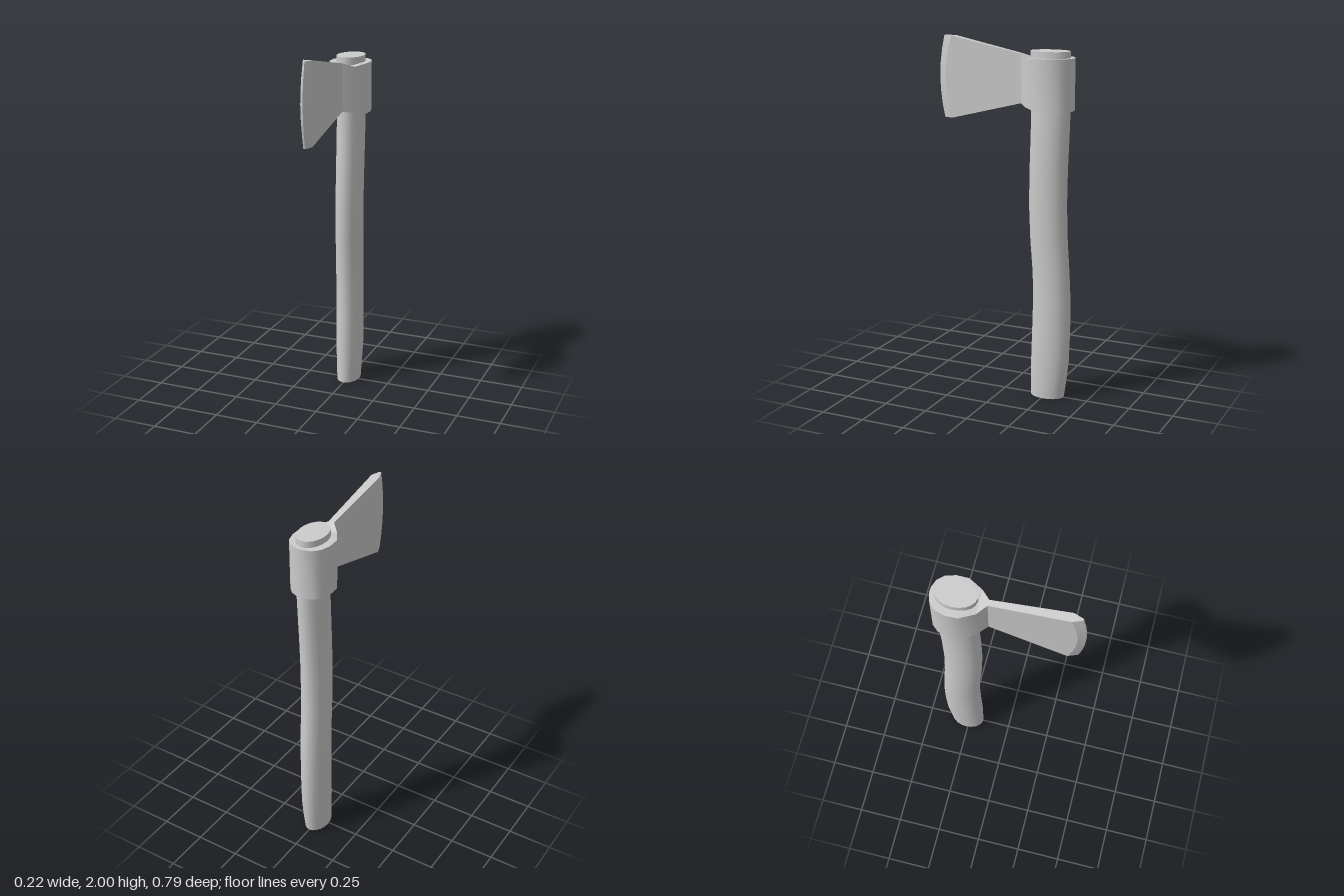
import * as THREE from 'three';
import { toCreasedNormals } from 'three/addons/utils/BufferGeometryUtils.js';

const material = new THREE.MeshStandardMaterial({ color: 0xcccccc });

function addPart(group, name, geometry, crease) {
  const mesh = new THREE.Mesh(toCreasedNormals(geometry, crease), material);
  mesh.name = name;
  group.add(mesh);
}

// Solid through upright sections along z: [z, xMin, xMax, yMin, yMax, bulge].
// The bulge pushes the middle of a section forward, which curves the cutting edge.
function loft(sections, levels) {
  const positions = [], index = [], ring = levels * 2;
  const quad = (a, b, c, d) => index.push(a, b, c, a, c, d);
  for (const [z, x0, x1, y0, y1, bulge = 0] of sections) {
    for (let j = 0; j < ring; j++) {
      const right = j < levels;
      const t = (right ? j : ring - 1 - j) / (levels - 1);
      positions.push(right ? x1 : x0, y0 + (y1 - y0) * t, z + bulge * (1 - (2 * t - 1) ** 2));
    }
  }
  for (let i = 0; i < sections.length - 1; i++) {
    for (let j = 0; j < ring; j++) {
      const a = i * ring + j, b = i * ring + (j + 1) % ring;
      quad(a, b, b + ring, a + ring);
    }
  }
  // End caps
  const last = (sections.length - 1) * ring;
  for (let k = 0; k < levels - 1; k++) {
    const m = ring - 1 - k;
    quad(last + k, last + k + 1, last + m - 1, last + m);
    quad(m, m - 1, k + 1, k);
  }
  const geometry = new THREE.BufferGeometry();
  geometry.setAttribute('position', new THREE.Float32BufferAttribute(positions, 3));
  geometry.setIndex(index);
  return geometry;
}

// Cylinder whose rows follow the rings: [y, xCentre, xRadius, zBack, zFront]
function handleGeometry() {
  const rings = [
    [0, 0, 0.066, -0.36, -0.165],
    [0.1, 0, 0.07, -0.374, -0.165],
    [0.21, -0.001, 0.075, -0.386, -0.165],
    [0.4, -0.003, 0.076, -0.391, -0.17],
    [0.57, -0.004, 0.076, -0.39, -0.174],
    [0.72, -0.004, 0.076, -0.382, -0.17],
    [0.9, -0.002, 0.076, -0.37, -0.156],
    [1.1, 0, 0.076, -0.364, -0.148],
    [1.3, 0.002, 0.076, -0.367, -0.151],
    [1.5, 0.003, 0.076, -0.375, -0.157],
    [1.65, 0.004, 0.076, -0.38, -0.16],
    [1.94, 0.002, 0.076, -0.375, -0.153],
  ];
  const rows = rings.length - 1;
  const geometry = new THREE.CylinderGeometry(1, 1, 1, 20, rows);
  const p = geometry.attributes.position;
  for (let i = 0; i < p.count; i++) {
    const [y, cx, rx, back, front] = rings[Math.round((p.getY(i) + 0.5) * rows)];
    p.setXYZ(i, cx + p.getX(i) * rx, y, (back + front) / 2 + p.getZ(i) * (front - back) / 2);
  }
  return geometry;
}

export function createModel() {
  const group = new THREE.Group();
  group.name = 'axe';

  addPart(group, 'handle', handleGeometry(), 0.6);

  // Socket wrapped round the handle, narrowing to the neck of the blade
  addPart(group, 'socket', loft([
    [-0.396, -0.016, 0.016, 1.625, 1.905],
    [-0.38, -0.065, 0.061, 1.625, 1.905],
    [-0.345, -0.096, 0.094, 1.625, 1.905],
    [-0.29, -0.113, 0.11, 1.625, 1.905],
    [-0.225, -0.111, 0.11, 1.625, 1.905],
    [-0.147, -0.064, 0.07, 1.641, 1.895],
    [-0.1, -0.016, 0.017, 1.653, 1.918],
  ], 2), 0.55);

  // Flaring blade with a bevelled, curved cutting edge
  addPart(group, 'blade', loft([
    [-0.1, -0.016, 0.017, 1.653, 1.918],
    [0.318, -0.033, 0.016, 1.547, 2, 0.04],
    [0.371, -0.012, -0.002, 1.547, 2, 0.028],
  ], 7), 0.3);

  return group;
}
